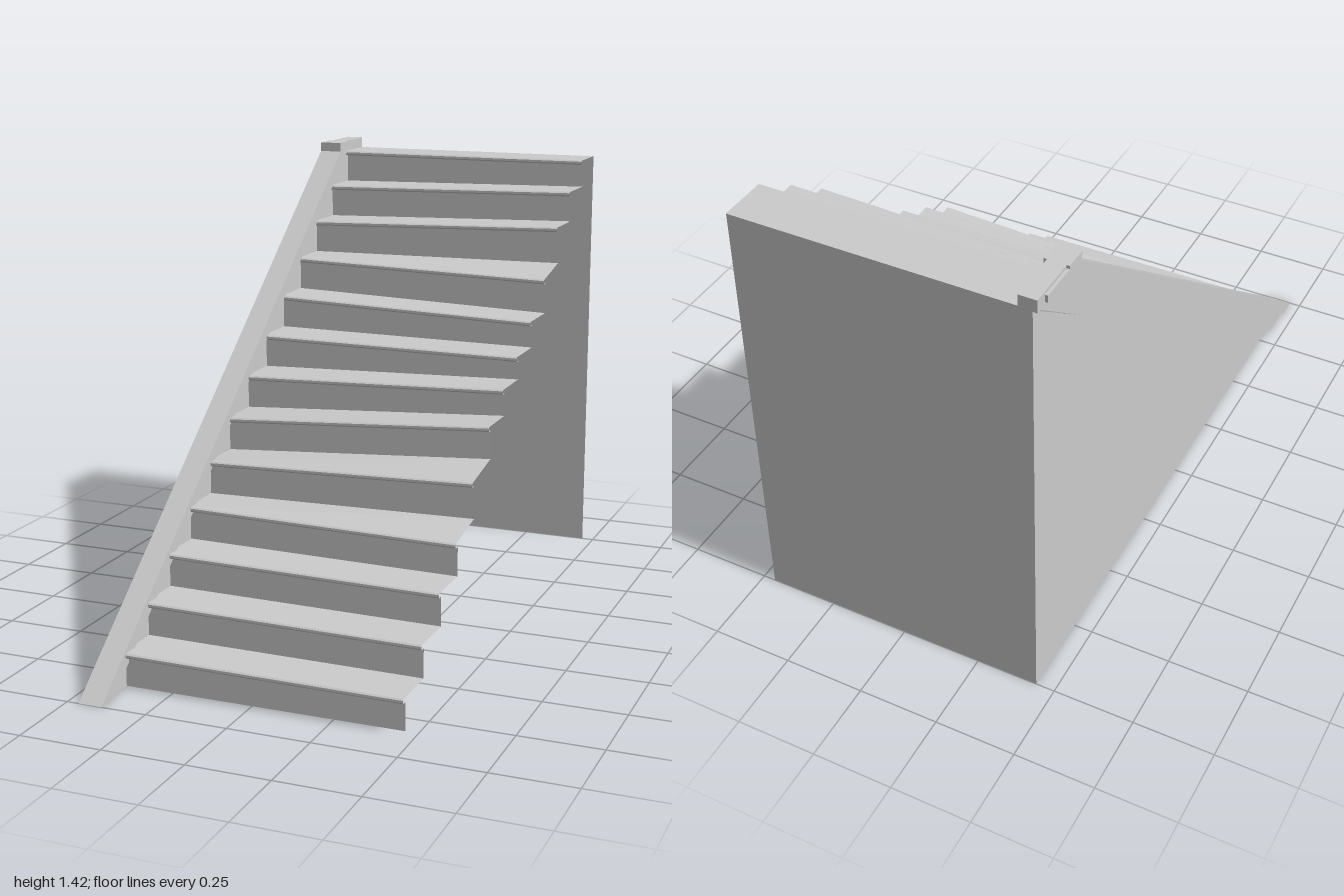
import * as THREE from 'three';

const M = 1.39 / 1.77; // pitch of the flight
const LEFT = -0.4, RIGHT = 0.462, WALL = -0.442, TOP = 1.385;

export function createModel() {
  const group = new THREE.Group();
  const mat = new THREE.MeshStandardMaterial({ color: 0xcccccc, flatShading: true, side: THREE.DoubleSide });
  const add = (name, geo) => {
    const mesh = new THREE.Mesh(geo, mat);
    mesh.name = name;
    group.add(mesh);
    return mesh;
  };

  // Extrudes a side outline of [z, y] points from x0 to x1
  const sidePlate = (name, pts, x0, x1) => {
    const shape = new THREE.Shape(pts.map(([z, y]) => new THREE.Vector2(-z, y)));
    const geo = new THREE.ExtrudeGeometry(shape, { depth: x1 - x0, bevelEnabled: false });
    geo.rotateY(Math.PI / 2).translate(x0, 0, 0);
    return add(name, geo);
  };

  // Sloping board lying between two drops below the top line of the rail
  const slopedBoard = (name, d0, d1, x0, x1) => {
    const a = d0 / M, b = d1 / M;
    sidePlate(name, [[1 - a, 0], [1 - b, 0], [-0.77 - b, 1.39], [-0.77 - a, 1.39]], x0, x1);
  };

  // Ribbon stretched between a left and a right profile of [z, y] points
  const ribbon = (name, left, right) => {
    const pos = [], index = [];
    left.forEach(([z, y], i) => {
      pos.push(LEFT, y, z, RIGHT, right[i][1], right[i][0]);
      if (i) {
        const k = 2 * i;
        index.push(k - 2, k, k - 1, k - 1, k, k + 1);
      }
    });
    const geo = new THREE.BufferGeometry();
    geo.setAttribute('position', new THREE.Float32BufferAttribute(pos, 3));
    geo.setIndex(index);
    geo.computeVertexNormals();
    add(name, geo);
  };

  // Steps: uneven right ends, some treads also tilted front to back
  const rightY = [0.1, 0.204, 0.308, 0.412, 0.555, 0.688, 0.773, 0.847, 0.933, 1.045, 1.195, 1.295, TOP];
  const rightBack = { 3: 0.44, 4: 0.585, 9: 1.075 };
  const skew = { 4: -0.004, 5: -0.012, 6: -0.004 };
  const steps = rightY.length;
  const noseZ = (i, right) => 0.855 - i * 0.1415 + (right && skew[i] ? skew[i] : 0);
  const frontY = (i, right) => (right ? rightY[i] : (i + 1) * TOP / steps);
  const backY = (i, right) => (i < 0 ? 0 : (right && rightBack[i]) || frontY(i, right));
  const profile = (i, right) => {
    const z = noseZ(i, right), y = frontY(i, right);
    const riser = z - 0.02;
    const back = i === steps - 1 ? -1 : noseZ(i + 1, right) - 0.02;
    return [
      [back, backY(i, right)], [z - 0.005, y], [z, y - 0.004], [z, y - 0.011],
      [z - 0.004, y - 0.015], [riser, y - 0.015], [riser, backY(i - 1, right)],
    ];
  };
  for (let i = 0; i < steps; i++) ribbon('step' + (i + 1), profile(i, false), profile(i, true));

  // Back wall
  const back = new THREE.PlaneGeometry(RIGHT - WALL, TOP);
  back.rotateY(Math.PI).translate((RIGHT + WALL) / 2, TOP / 2, -0.999);
  add('backWall', back);

  // Triangular side wall under the stringer
  const tri = new THREE.ShapeGeometry(new THREE.Shape([
    new THREE.Vector2(-0.8, 0), new THREE.Vector2(1, 0), new THREE.Vector2(1, TOP),
  ]));
  tri.rotateY(Math.PI / 2).translate(WALL, 0, 0);
  add('sideWall', tri);

  // Stringer with outer mouldings and the wider rail on top
  slopedBoard('stringer', 0.05, 0.18, -0.447, LEFT);
  slopedBoard('stringerMoulding', 0.05, 0.145, -0.456, -0.445);
  slopedBoard('stringerRail', 0, 0.055, -0.464, -0.39);

  // Level cap at the top of the stringer
  const block = (name, x0, x1, y0, y1, z0, z1) => {
    const geo = new THREE.BoxGeometry(x1 - x0, y1 - y0, z1 - z0);
    add(name, geo.translate((x0 + x1) / 2, (y0 + y1) / 2, (z0 + z1) / 2));
  };
  block('capFront', -0.464, -0.39, 1.388, 1.42, -0.84, -0.77);
  block('capBack', -0.455, LEFT, 1.38, 1.42, -1, -0.84);
  block('capMoulding', -0.464, -0.455, 1.388, 1.41, -0.96, -0.84);

  return group;
}
